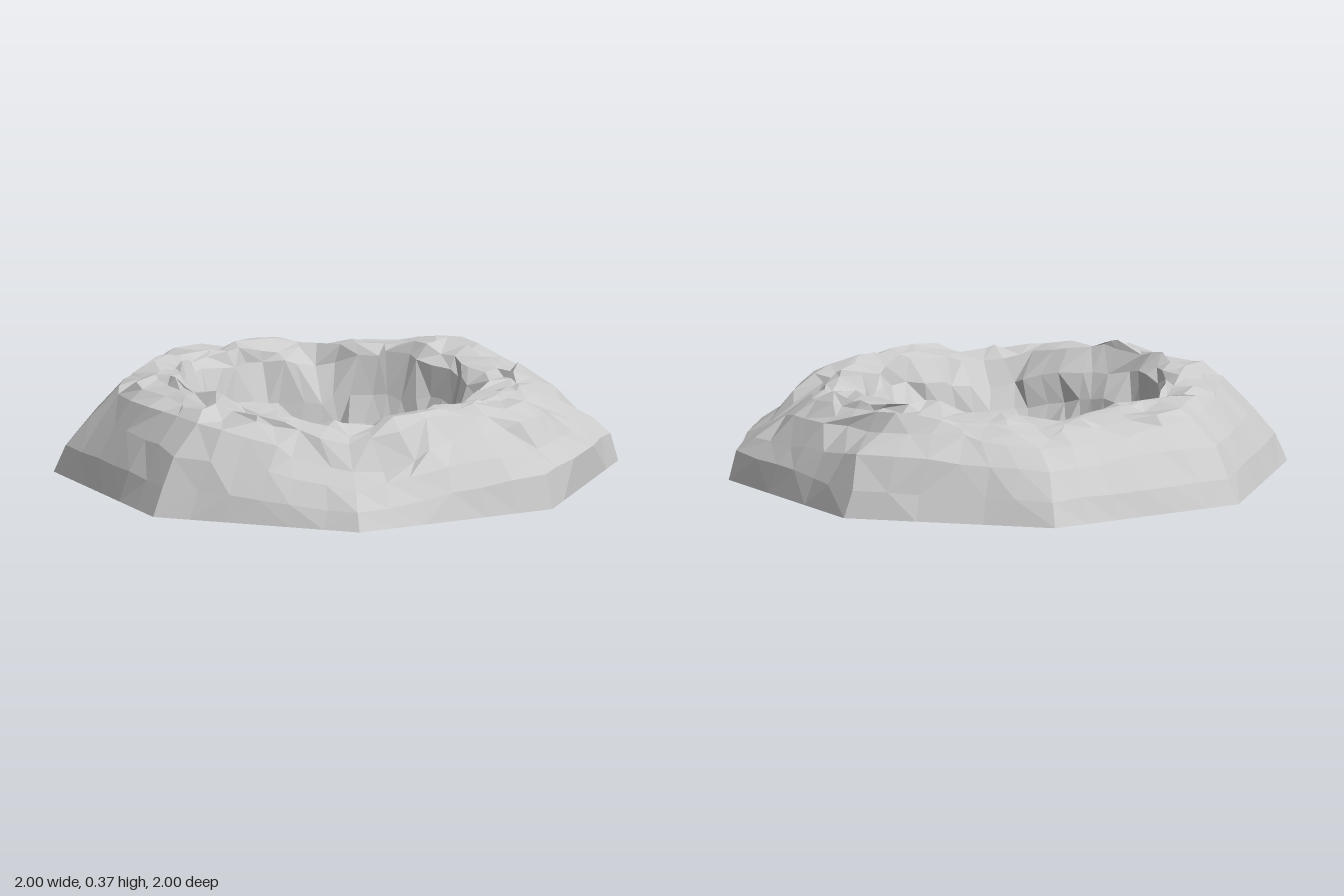
import * as THREE from 'three';

const SEG = 48;
// crest height every 22.5 degrees, starting at +x and turning towards +z
const CREST = [0.30, 0.31, 0.33, 0.33, 0.29, 0.335, 0.355, 0.36,
  0.35, 0.335, 0.33, 0.32, 0.295, 0.33, 0.345, 0.32];
// rings from the foot to the crater floor: radius, share of crest height, roundness, roughness
const RINGS = [
  [1.00, 0.00, 0.0, 0.0],
  [0.955, 0.28, 0.1, 0.3],
  [0.885, 0.60, 0.2, 0.6],
  [0.80, 0.83, 0.4, 0.9],
  [0.73, 0.92, 0.7, 1.0],
  [0.67, 0.97, 0.9, 1.0],
  [0.62, 0.98, 1.0, 1.0],
  [0.565, 0.96, 1.0, 1.0],
  [0.525, 0.86, 1.0, 0.9],
  [0.48, 0.56, 1.0, 0.8],
  [0.435, 0.22, 1.0, 0.7],
  [0.39, 0.00, 1.0, 0.6],
];
const RIM = 8, FLOOR = RINGS.length - 1;

// repeatable noise from -1 to 1
function noise(a, b) {
  const s = Math.sin(a * 127.1 + b * 311.7 + 4.2) * 43758.5453;
  return 2 * (s - Math.floor(s)) - 1;
}

// radius of an octagon with corners on the axes and diagonals
function octagon(angle) {
  const step = Math.PI / 4;
  return Math.cos(step / 2) / Math.cos((angle % step) - step / 2);
}

function crest(j) {
  const k = Math.floor(j / 3), t = (j % 3) / 3;
  return THREE.MathUtils.lerp(CREST[k], CREST[(k + 1) % 16], t);
}

function rockPoint(i, col) {
  const j = col % SEG;
  const [radius, share, round, rough] = RINGS[i];
  const base = (j / SEG) * Math.PI * 2;
  // low rings move in broad facets, high rings in small chips
  const cell = i < 4 ? Math.floor((j + i) / 3) % 16 : Math.floor((j + i) / 2) % (SEG / 2);
  const angle = base + noise(j, i + 40) * 0.05 * rough;
  const right = Math.max(0, Math.cos(base)), front = Math.max(0, Math.sin(base));
  // a low steep wall with a ledge on the side between +x and the front diagonal
  const wall = Math.max(0, Math.cos(base - Math.PI / 8)) ** 3;
  const bulge = i === 1 || i === 2 ? 0.03 * wall : 0;
  let r = (radius + bulge) * THREE.MathUtils.lerp(octagon(base), 0.98, round)
    + noise(cell, i) * 0.03 * rough;
  // the foot facets stay inside the base outline
  r = Math.min(r, octagon(base));
  let y = 0;
  if (share > 0) {
    let scale = 1;
    // the front corner runs out flatter
    if (i < 4) scale = 1 - 0.08 * right ** 2 - 0.3 * front ** 8;
    // the crater wall slopes more gently at the front, and low down at the back
    else if (i > RIM) scale = 1 - 0.25 * Math.abs(Math.sin(base));
    else if (i === RIM) scale = 1 - 0.2 * front;
    if (i === 1) scale += 0.45 * wall;
    y = share * crest(j) * scale
      + (noise(cell, i + 9) * 0.018 + noise(j, i + 20) * 0.011) * rough;
  }
  const [dx, dz] = i === FLOOR ? [-0.015, 0.015] : i >= RIM - 1 ? [-0.025, 0] : [0, 0];
  return [Math.cos(angle) * r + dx, Math.max(0, y), Math.sin(angle) * r + dz];
}

// joins a grid of points into a surface
function surface(rows, pointAt) {
  const pos = [], index = [];
  for (let i = 0; i < rows; i++) {
    for (let j = 0; j <= SEG; j++) pos.push(...pointAt(i, j));
  }
  for (let i = 0; i < rows - 1; i++) {
    for (let j = 0; j < SEG; j++) {
      const a = i * (SEG + 1) + j, b = a + SEG + 1;
      // alternate the diagonals for an irregular break
      if (noise(i, j) > 0) index.push(a, b, a + 1, b, b + 1, a + 1);
      else index.push(a, b, b + 1, a, b + 1, a + 1);
    }
  }
  const geometry = new THREE.BufferGeometry();
  geometry.setAttribute('position', new THREE.Float32BufferAttribute(pos, 3));
  geometry.setIndex(index);
  const flat = geometry.toNonIndexed();
  flat.computeVertexNormals();
  return flat;
}

export function createModel() {
  const group = new THREE.Group();
  group.name = 'rockCrater';
  const material = new THREE.MeshStandardMaterial({
    color: 0xcccccc, flatShading: true, side: THREE.DoubleSide,
  });
  const add = (name, geometry) => {
    const mesh = new THREE.Mesh(geometry, material);
    mesh.name = name;
    group.add(mesh);
  };

  // craggy ring with the crater wall
  add('rockRing', surface(RINGS.length, rockPoint));

  // crater floor, rising very slightly to its centre
  add('craterFloor', surface(2, (i, j) => (i === 0 ? rockPoint(FLOOR, j) : [0, 0.015, 0])));

  // underside: octagonal plate with a round opening, facing down
  add('basePlate', surface(2, (i, j) => {
    const angle = ((j % SEG) / SEG) * Math.PI * 2;
    const r = i === 0 ? 0.55 + 0.015 * noise(j % SEG, 77) : octagon(angle);
    return [Math.cos(angle) * r, 0, Math.sin(angle) * r];
  }));

  return group;
}
